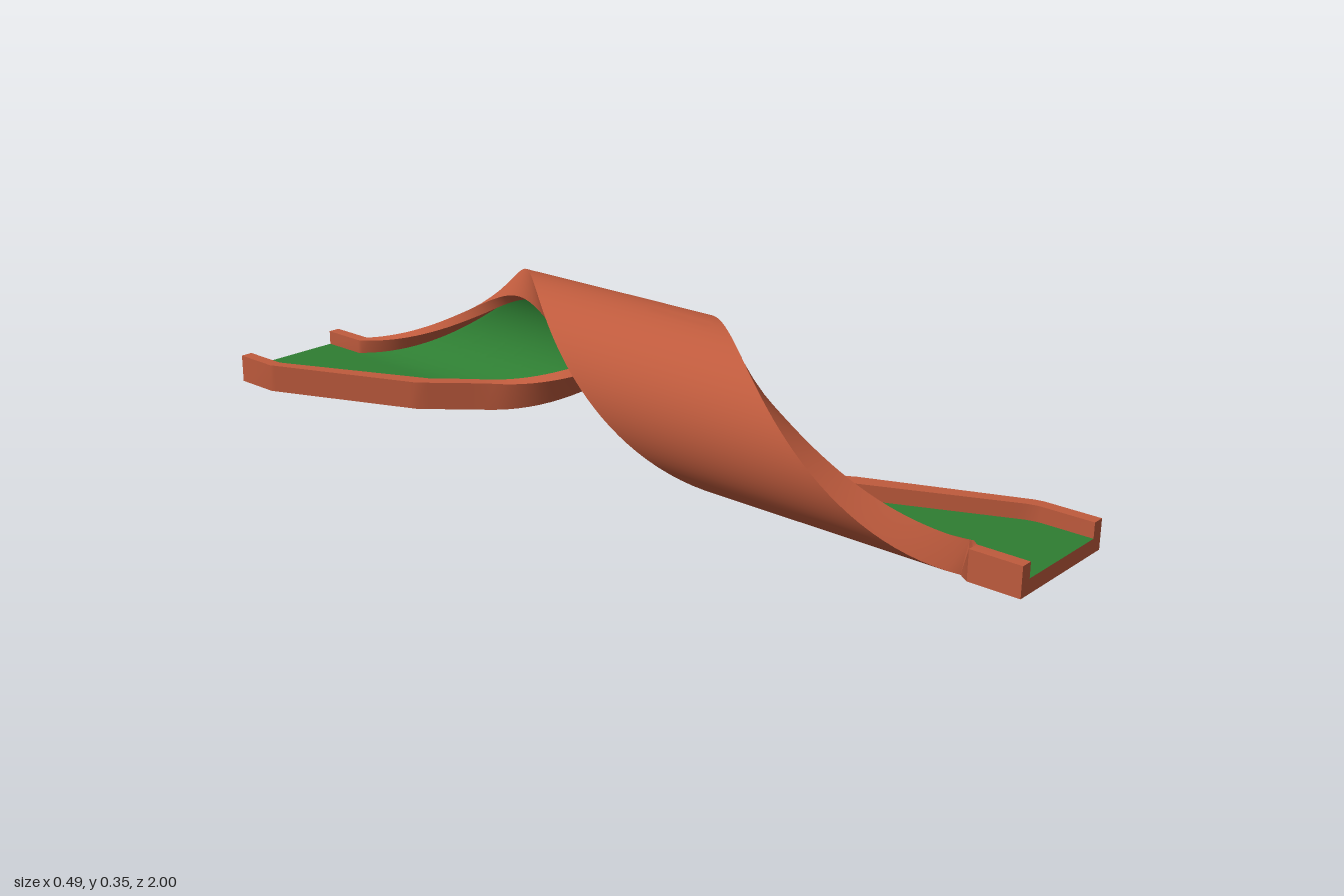
import * as THREE from 'three';
import { toCreasedNormals } from 'three/addons/utils/BufferGeometryUtils.js';

const R = 0.173, XC = 0.012, LOOP = 2 * Math.PI * R; // barrel of the corkscrew
const WALL = 0.094, FLOOR = 0.031, HEIGHT = 0.064;   // wall is a share of the width
const END = 0.89;                                    // flat landings lie beyond this z

// Both rims as [z, distance unrolled around the barrel]
const TRAILING = [[1, -0.231], [0.87, -0.231], [0.53, -0.09], [0.4, 0.012], [-0.27, 0.5435], [-0.89, 1.047], [-1, 1.047]];
const LEADING = [[1, 0.057], [0.89, 0.057], [0.27, 0.5435], [-0.4, 1.077], [-0.54, 1.195], [-0.89, 1.342], [-1, 1.342]];

function sample(table, z) {
  let i = 0;
  while (i < table.length - 2 && z < table[i + 1][0]) i++;
  const [z0, s0] = table[i], [z1, s1] = table[i + 1];
  return s0 + (s1 - s0) * (z0 - z) / (z0 - z1);
}

// Point at share f of the width and height h above the outer skin
function trackPoint(f, h, z) {
  const s = THREE.MathUtils.lerp(sample(TRAILING, z), sample(LEADING, z), f);
  if (s <= 0 || z >= END) return [XC - s, h, z];
  if (s >= LOOP || z <= -END) return [XC - s + LOOP, h, z];
  const a = s / R;
  return [XC - (R - h) * Math.sin(a), R - (R - h) * Math.cos(a), z];
}

const rows = [1, END];
for (let i = 0; i <= 88; i++) rows.push(0.88 - i * 0.02);
rows.push(-END, -1);

// Sweeps each straight run of the section along the track
function sweep(runs) {
  const pos = [], index = [];
  for (const [f0, h0, f1, h1, n] of runs) {
    const base = pos.length / 3;
    rows.forEach((z, i) => {
      for (let j = 0; j <= n; j++) {
        const t = j / n;
        pos.push(...trackPoint(f0 + (f1 - f0) * t, h0 + (h1 - h0) * t, z));
        if (i < rows.length - 1 && j < n) {
          const a = base + i * (n + 1) + j, c = a + n + 1;
          index.push(a, a + 1, c, a + 1, c + 1, c);
        }
      }
    });
  }
  const geo = new THREE.BufferGeometry();
  geo.setAttribute('position', new THREE.Float32BufferAttribute(pos, 3));
  geo.setIndex(index);
  return toCreasedNormals(geo, 0.45);
}

export function createModel() {
  const group = new THREE.Group();
  group.name = 'corkscrewTrack';
  const brick = new THREE.MeshStandardMaterial({ color: 0xbf5b3d });
  const green = new THREE.MeshStandardMaterial({ color: 0x2e7d32 });
  const add = (name, geo, mat) => {
    const mesh = new THREE.Mesh(geo, mat);
    mesh.name = name;
    group.add(mesh);
    return mesh;
  };

  // Outer skin and the two side walls
  const W = WALL, V = 1 - WALL;
  add('trough', sweep([
    [0, 0, 1, 0, 28],
    [1, 0, 1, HEIGHT, 1], [1, HEIGHT, V, HEIGHT, 2], [V, HEIGHT, V, FLOOR, 1],
    [W, FLOOR, W, HEIGHT, 1], [W, HEIGHT, 0, HEIGHT, 2], [0, HEIGHT, 0, 0, 1],
  ]), brick);

  // Playing surface between the walls
  add('floor', sweep([[V, FLOOR, W, FLOOR, 28]]), green);

  // U-shaped faces closing both ends
  const section = [[0, 0], [1, 0], [1, HEIGHT], [V, HEIGHT], [V, FLOOR], [W, FLOOR], [W, HEIGHT], [0, HEIGHT]];
  const cap = new THREE.ShapeGeometry(new THREE.Shape(section.map(([f, h]) => {
    const [x, y] = trackPoint(f, h, 1);
    return new THREE.Vector2(x, y);
  })));
  add('frontEnd', cap, brick).position.z = 1;
  const back = add('backEnd', cap, brick);
  back.position.z = -1;
  back.rotation.y = Math.PI;
  // Match the slightly wider rear landing
  const x0 = trackPoint(0, 0, -1)[0], x1 = trackPoint(1, 0, -1)[0];
  const width = trackPoint(0, 0, 1)[0] - trackPoint(1, 0, 1)[0];
  back.scale.x = (x0 - x1) / width;
  back.position.x = x1 + trackPoint(0, 0, 1)[0] * back.scale.x;
  return group;
}
